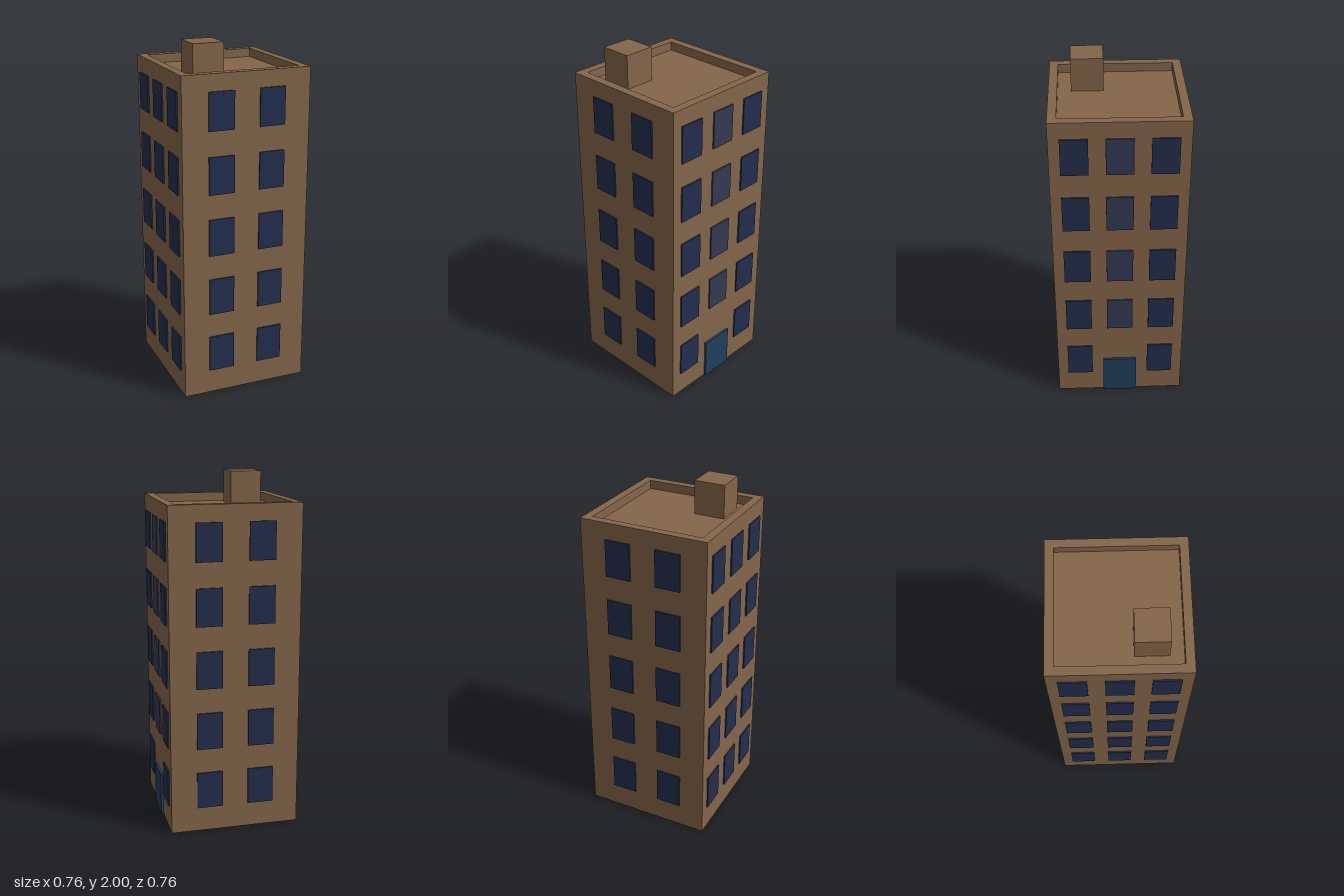
import * as THREE from 'three';

export function createModel() {
  const model = new THREE.Group();
  model.name = 'apartmentBlock';

  const mat = (color) => new THREE.MeshStandardMaterial({ color });
  const brick = mat(0x84664a), glass = mat(0x222e4d), paleGlass = mat(0x343953), doorPaint = mat(0x203e5c);

  // Main dimensions
  const cx = -0.0035, cz = -0.0015;
  const side = 0.743, half = side / 2;
  const wallTop = 1.86, roofY = 1.81, rim = 0.048;

  function box(name, material, w, h, d, x, y, z, parent = model) {
    const mesh = new THREE.Mesh(new THREE.BoxGeometry(w, h, d), material);
    mesh.name = name;
    mesh.position.set(x, y, z);
    parent.add(mesh);
    return mesh;
  }

  // Square outline for the parapet
  function square(target, r) {
    target.moveTo(-r, -r);
    target.lineTo(r, -r);
    target.lineTo(r, r);
    target.lineTo(-r, r);
    target.closePath();
    return target;
  }

  // Building body up to the sunken roof
  box('walls', brick, side, roofY, side, cx, roofY / 2, cz);

  // Parapet ring around the roof
  const ring = square(new THREE.Shape(), half);
  ring.holes.push(square(new THREE.Path(), half - rim));
  const parapetGeo = new THREE.ExtrudeGeometry(ring, { depth: wallTop - roofY, bevelEnabled: false });
  parapetGeo.rotateX(-Math.PI / 2);
  const parapet = new THREE.Mesh(parapetGeo, brick);
  parapet.name = 'parapet';
  parapet.position.set(cx, roofY, cz);
  model.add(parapet);

  // Rooftop stair housing
  box('roofHousing', brick, 0.178, 2 - roofY, 0.178, -0.176, (2 + roofY) / 2, 0.16);

  // Windows: five floors, two columns front and back, three on each side
  const winW = 0.148, winH = 0.212, winT = 0.016;
  const windows = new THREE.Group();
  windows.name = 'windows';
  model.add(windows);
  for (let floor = 0; floor < 5; floor++) {
    const y = 0.248 + floor * 0.353;
    for (const s of [1, -1]) {
      for (const c of [1, -1]) {
        box(s > 0 ? 'frontWindow' : 'backWindow', glass, winW, winH, winT,
          cx + c * 0.148, y, cz + s * half, windows);
      }
      for (const c of [-1, 0, 1]) {
        const doorColumn = s > 0 && c === 0;
        if (doorColumn && floor === 0) continue; // door goes here
        box(s > 0 ? 'leftWindow' : 'rightWindow', doorColumn ? paleGlass : glass,
          winT, winH, winW, cx + s * half, y, cz + c * 0.238, windows);
      }
    }
  }

  // Entrance door
  box('door', doorPaint, 0.026, 0.25, 0.198, cx + half, 0.125, cz);

  return model;
}
